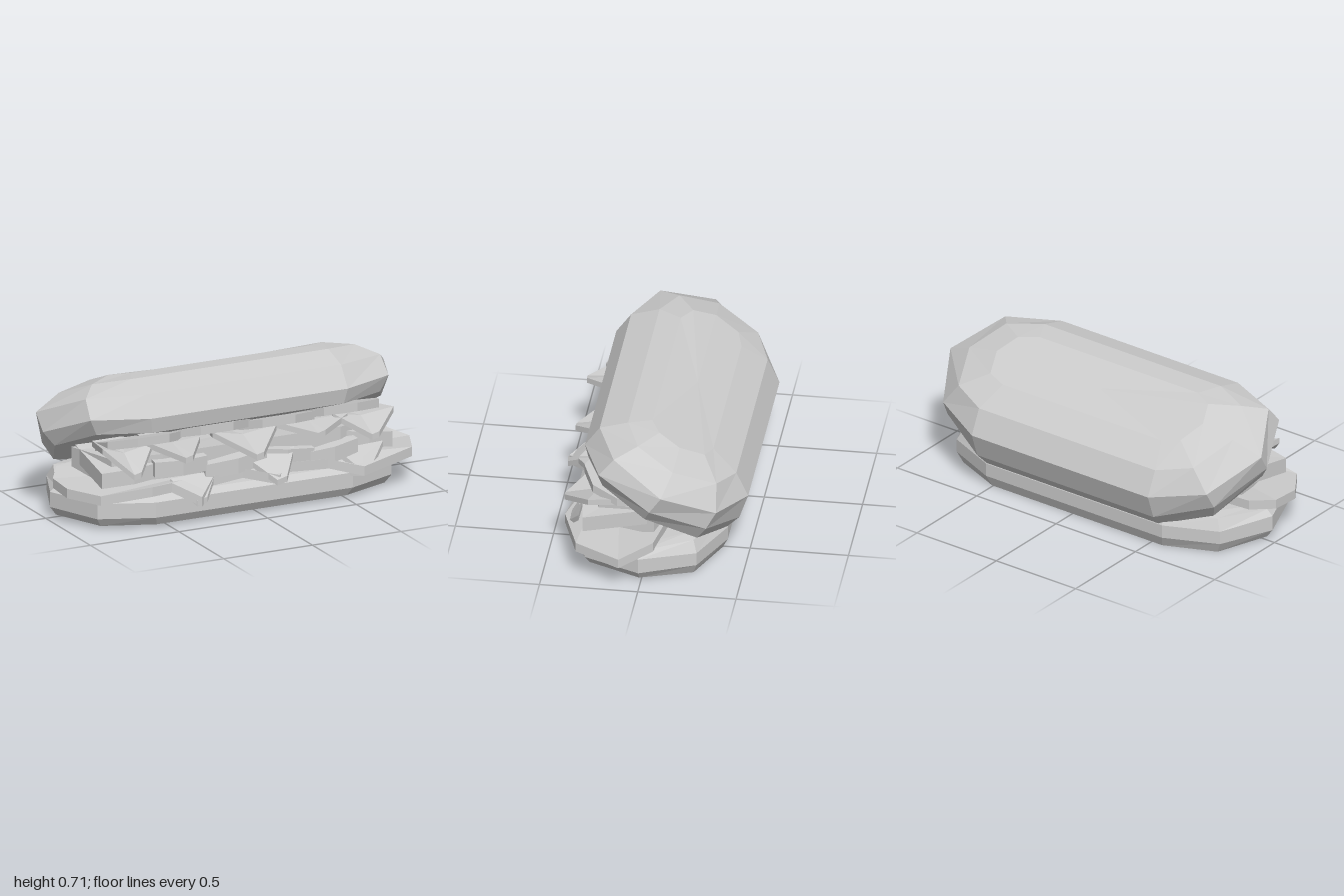
import * as THREE from 'three';

const bread = new THREE.MeshStandardMaterial({ color: 0xcccccc });
bread.name = 'light grey';
bread.flatShading = true;

// Skins a stack of closed rings, bottom to top, and caps both ends.
// Rings run counter-clockwise seen from above.
function loft(name, rings) {
  const pos = [];
  const tri = (a, b, c) => pos.push(...a, ...b, ...c);
  const n = rings[0].length;
  const centre = r => [0, 1, 2].map(k => r.reduce((s, p) => s + p[k], 0) / n);
  const low = rings[0], high = rings[rings.length - 1];
  const cl = centre(low), ch = centre(high);
  for (let j = 0; j < n; j++) {
    const k = (j + 1) % n;
    for (let i = 0; i < rings.length - 1; i++) {
      const a = rings[i], b = rings[i + 1];
      tri(a[j], a[k], b[k]);
      tri(a[j], b[k], b[j]);
    }
    tri(low[k], low[j], cl);
    tri(high[j], high[k], ch);
  }
  const g = new THREE.BufferGeometry();
  g.setAttribute('position', new THREE.Float32BufferAttribute(pos, 3));
  g.computeVertexNormals();
  const m = new THREE.Mesh(g, bread);
  m.name = name;
  return m;
}

// Mirrors five stations [halfWidth, y, z], front to back, into a ten-sided ring.
function bunRing(stations, cx) {
  const right = stations.map(([w, y, z]) => [cx + w, y, z]);
  const left = stations.map(([w, y, z]) => [cx - w, y, z]).reverse();
  return [...right, ...left];
}

// Sheet of food with an irregular edge and an even thickness.
function slice(name, t, outline) {
  return loft(name, [outline.map(([x, y, z]) => [x, y - t, z]), outline]);
}

export function createModel() {
  const model = new THREE.Group();
  model.name = 'sandwich';

  // Lower bun: flat base, upright sides, chamfered top
  const plan = [[0.555, 0.41], [0.83, 0.3], [0.95, 0.01], [0.83, -0.27], [0.555, -0.39]];
  const levels = [[0.93, 0.015, 0], [1, 0.06, 0.06], [1, 0.14, 0.13], [0.93, 0.17, 0.19], [0.8, 0.175, 0.2]];
  model.add(loft('lowerBun', levels.map(([s, yf, yb]) =>
    bunRing(plan.map(([w, z]) => [w * (s + 1) / 2, z < 0 ? yb : yf, z * s]), -0.03))));

  // Upper bun: tilted back and resting on the rear of the lower bun
  const upper = [
    [[0.54, 0.48, 0.32], [0.8, 0.475, 0.21], [0.92, 0.37, -0.02], [0.8, 0.21, -0.27], [0.54, 0.13, -0.385]],
    [[0.555, 0.56, 0.335], [0.84, 0.56, 0.225], [0.97, 0.44, -0.05], [0.84, 0.29, -0.32], [0.555, 0.2, -0.45]],
    [[0.555, 0.665, 0.26], [0.83, 0.65, 0.15], [0.95, 0.53, -0.11], [0.83, 0.38, -0.37], [0.555, 0.33, -0.495]],
    [[0.555, 0.708, 0.115], [0.74, 0.685, 0.04], [0.83, 0.6, -0.15], [0.74, 0.5, -0.36], [0.555, 0.46, -0.435]],
    [[0.5, 0.7, 0], [0.6, 0.69, -0.05], [0.65, 0.64, -0.16], [0.6, 0.58, -0.28], [0.5, 0.56, -0.31]],
  ];
  // the widest ring is the second and third together
  upper[2][2][0] = 0.98;
  model.add(loft('upperBun', upper.map(r => bunRing(r, -0.02))));

  // Lettuce: wide leaf with pointed, drooping front edge
  model.add(slice('lettuce', 0.05, [
    [-0.87, 0.2, 0.36], [-0.6, 0.22, 0.4], [-0.48, 0.22, 0.38], [-0.35, 0.15, 0.46], [-0.24, 0.22, 0.37],
    [-0.08, 0.24, 0.38], [0.08, 0.21, 0.48], [0.18, 0.23, 0.37], [0.4, 0.22, 0.38], [0.58, 0.17, 0.43],
    [0.9, 0.2, 0.33], [1.0, 0.18, 0.1], [0.88, 0.22, -0.06], [0.6, 0.25, -0.12],
    [-0.6, 0.25, -0.12], [-0.9, 0.24, -0.08], [-0.98, 0.22, 0.04], [-0.98, 0.21, 0.2],
  ]));
  // Lettuce tips folded over the lower bun
  for (const [x, y, z, w] of [[-0.34, 0.1, 0.45, 0.13], [0.09, 0.16, 0.49, 0.14], [0.6, 0.12, 0.42, 0.13]]) {
    model.add(slice('lettuceTip', 0.03, [
      [x - 0.03, y + 0.03, z], [x + 0.03, y + 0.04, z - 0.01], [x + w, y + 0.14, 0.34], [x - w, y + 0.13, 0.34],
    ]));
  }

  // Meat: overlapping thick slices
  for (const [x0, x1, y, tilt, z] of [
    [-0.84, -0.5, 0.31, 0.01, 0.34], [-0.56, -0.27, 0.33, 0, 0.38], [-0.28, 0.06, 0.3, 0.02, 0.39],
    [0.02, 0.34, 0.3, -0.02, 0.37], [0.3, 0.58, 0.28, 0.02, 0.38], [0.52, 0.8, 0.31, -0.02, 0.33],
  ]) {
    model.add(slice('meatSlice', 0.08, [
      [x0, y - tilt, z - 0.03], [(x0 + x1) / 2, y, z], [x1, y + tilt, z - 0.02],
      [x1 - 0.03, y + 0.04, -0.05], [x0 + 0.03, y + 0.04, -0.05],
    ]));
  }
  model.add(slice('meatBase', 0.13, [
    [-0.76, 0.35, 0.26], [-0.5, 0.36, 0.32], [0.5, 0.36, 0.32], [0.72, 0.35, 0.24],
    [0.78, 0.34, -0.05], [0.5, 0.3, -0.14], [-0.5, 0.3, -0.14], [-0.83, 0.34, -0.05],
  ]));

  // Cheese: thin sheet with corners hanging out at the front
  for (const [x, y, z, w] of [[-0.68, 0.3, 0.4, 0.14], [-0.42, 0.37, 0.46, 0.15], [-0.02, 0.33, 0.46, 0.18],
    [0.36, 0.37, 0.39, 0.2], [0.65, 0.33, 0.42, 0.17]]) {
    model.add(slice('cheeseCorner', 0.03, [
      [x - 0.02, y, z], [x + 0.02, y + 0.01, z], [x + w, 0.41, 0.28],
      [x + w * 0.6, 0.39, 0.05], [x - w * 0.6, 0.39, 0.05], [x - w, 0.42, 0.28],
    ]));
  }

  // Tomato: flat many-sided slices under the upper bun
  [-0.55, -0.17, 0.2, 0.57].forEach((x, i) => {
    const ring = [];
    for (let k = 0; k < 8; k++) {
      const a = -k * Math.PI / 4 + Math.PI / 8 + 0.1 * i;
      const z = 0.15 + 0.18 * Math.sin(a);
      ring.push([x + 0.23 * Math.cos(a), 0.365 + 0.3 * z + 0.012 * (i % 2), z]);
    }
    model.add(slice('tomatoSlice', 0.045, ring));
  });

  return model;
}
